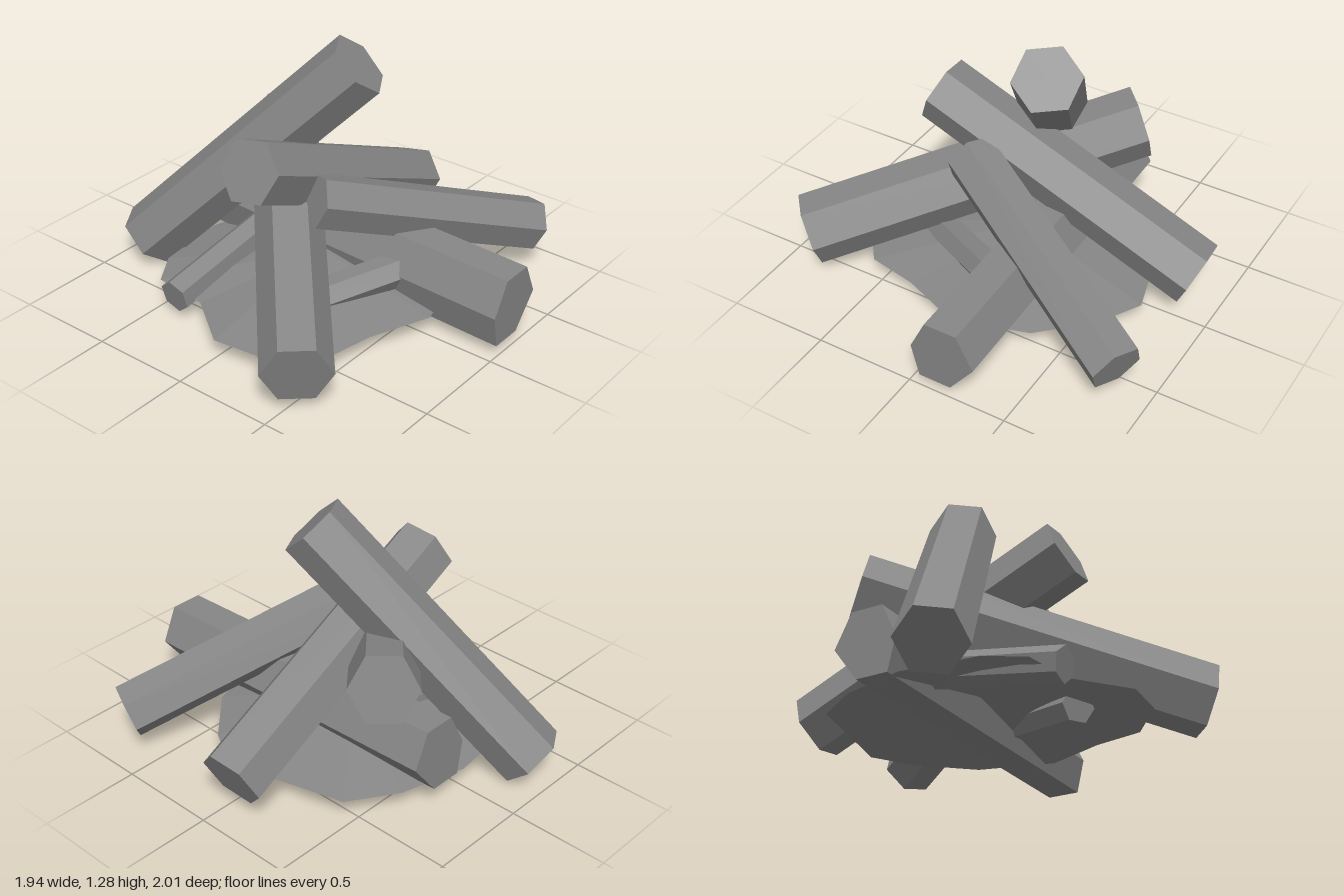
import * as THREE from 'three';

const wood = new THREE.MeshStandardMaterial({ color: 0x868686, flatShading: true });
const ash = new THREE.MeshStandardMaterial({ color: 0x868686, flatShading: true, side: THREE.DoubleSide });

// Six-sided log between two end centres; roll in degrees turns it on its axis,
// tall stretches its cross-section upwards, lean shifts its underside sideways
function makeLog(name, from, to, radius, { roll = 0, tall = 1, lean = 0 } = {}) {
  const a = new THREE.Vector3(...from);
  const b = new THREE.Vector3(...to);
  const axis = b.clone().sub(a);
  const length = axis.length();
  axis.normalize();
  const side = new THREE.Vector3().crossVectors(axis, new THREE.Vector3(0, 1, 0)).normalize();
  const down = new THREE.Vector3().crossVectors(axis, side);

  const geometry = new THREE.CylinderGeometry(radius, radius, length, 6);
  geometry.rotateY(-THREE.MathUtils.degToRad(roll));
  geometry.scale(tall, 1, 1);
  const position = geometry.attributes.position;
  for (let i = 0; i < position.count; i++) {
    if (position.getX(i) > radius * 0.5) position.setZ(i, position.getZ(i) + lean);
  }
  const mesh = new THREE.Mesh(geometry, wood);
  mesh.name = name;
  mesh.quaternion.setFromRotationMatrix(new THREE.Matrix4().makeBasis(down, axis, side));
  mesh.position.copy(a.add(b).multiplyScalar(0.5));
  return mesh;
}

// Low hollow cone of ash with an uneven rim, open underneath
function makeAshMound() {
  const rim = [
    [-0.77, 0], [-0.74, 0.25], [-0.55, 0.49], [-0.3, 0.54], [0, 0.66], [0.37, 0.55],
    [0.6, 0.33], [0.72, 0.12], [0.63, -0.2], [0.56, -0.46], [0.33, -0.61], [0, -0.7],
    [-0.38, -0.66], [-0.55, -0.55], [-0.58, -0.26],
  ];
  const points = [];
  rim.forEach(([x, z], i) => {
    const [nextX, nextZ] = rim[(i + 1) % rim.length];
    points.push(0, 0.25, 0, x, 0.12, z, nextX, 0.12, nextZ);
  });
  const geometry = new THREE.BufferGeometry();
  geometry.setAttribute('position', new THREE.Float32BufferAttribute(points, 3));
  geometry.computeVertexNormals();
  const mesh = new THREE.Mesh(geometry, ash);
  mesh.name = 'ashMound';
  return mesh;
}

export function createModel() {
  const group = new THREE.Group();
  group.name = 'campfire';
  group.add(
    makeAshMound(),
    // Large logs, stacked and leaning on each other
    makeLog('baseLog', [0.18, 0.295, -0.7], [0.18, 0.24, 1], 0.163, { tall: 1.18, lean: 0.045 }),
    makeLog('crossLog', [-0.47, 0.855, -0.03], [0.9, 0.24, -0.09], 0.164, { roll: 10 }),
    makeLog('frontLog', [-0.205, 0.65, 0.13], [0.87, 0.24, 0.66], 0.135, { roll: 10 }),
    makeLog('diagonalLog', [-0.865, 0.235, 0.57], [0.36, 0.66, -0.52], 0.165, { tall: 1.1 }),
    makeLog('leaningLog', [-0.285, 0.13, -0.88], [0.18, 1.19, 0.09], 0.166, { roll: 52 }),
    // Thin sticks on the ash
    makeLog('backStick', [-0.63, 0.13, -0.38], [0.25, 0.29, -0.36], 0.085, { roll: -20 }),
    makeLog('frontStick', [-0.43, 0.15, 0.11], [0.18, 0.27, 0.47], 0.085),
  );
  return group;
}
